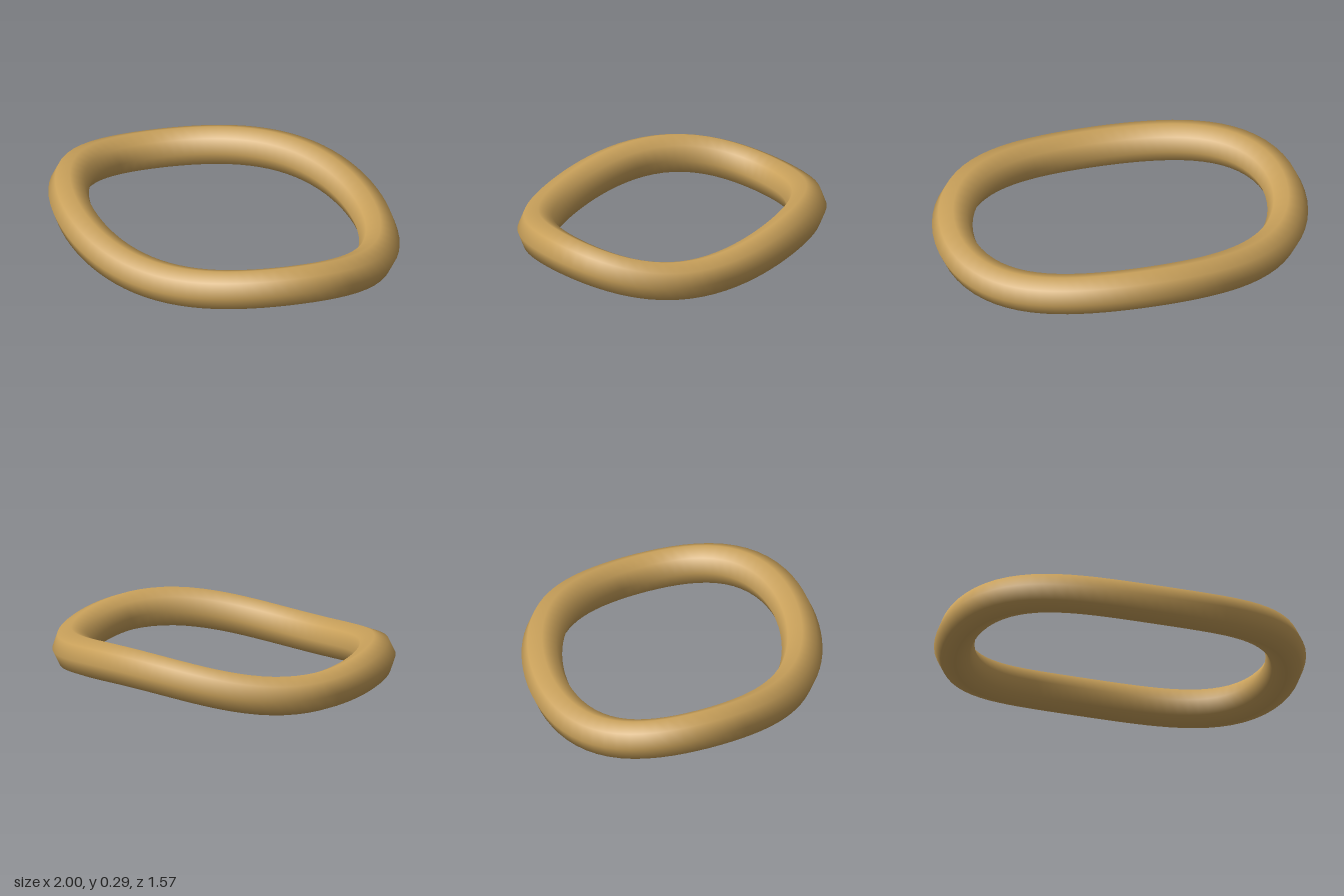
import * as THREE from 'three';

// Closed oval whose height ripples three times around
class WavyOval extends THREE.Curve {
  getPoint(t, target = new THREE.Vector3()) {
    const a = t * Math.PI * 2;
    return target.set(
      0.893 * Math.cos(a),
      0.143 + 0.0357 * Math.sin(3 * a),
      0.679 * Math.sin(a)
    );
  }
}

export function createModel() {
  const group = new THREE.Group();
  group.name = 'wavyRing';

  const gold = new THREE.MeshStandardMaterial({ color: 0xc8a05a });
  gold.name = 'warm gold';

  // Eight-sided, smooth-shaded band swept along the oval
  const band = new THREE.Mesh(
    new THREE.TubeGeometry(new WavyOval(), 80, 0.107, 8, true),
    gold
  );
  band.name = 'band';
  group.add(band);

  return group;
}
